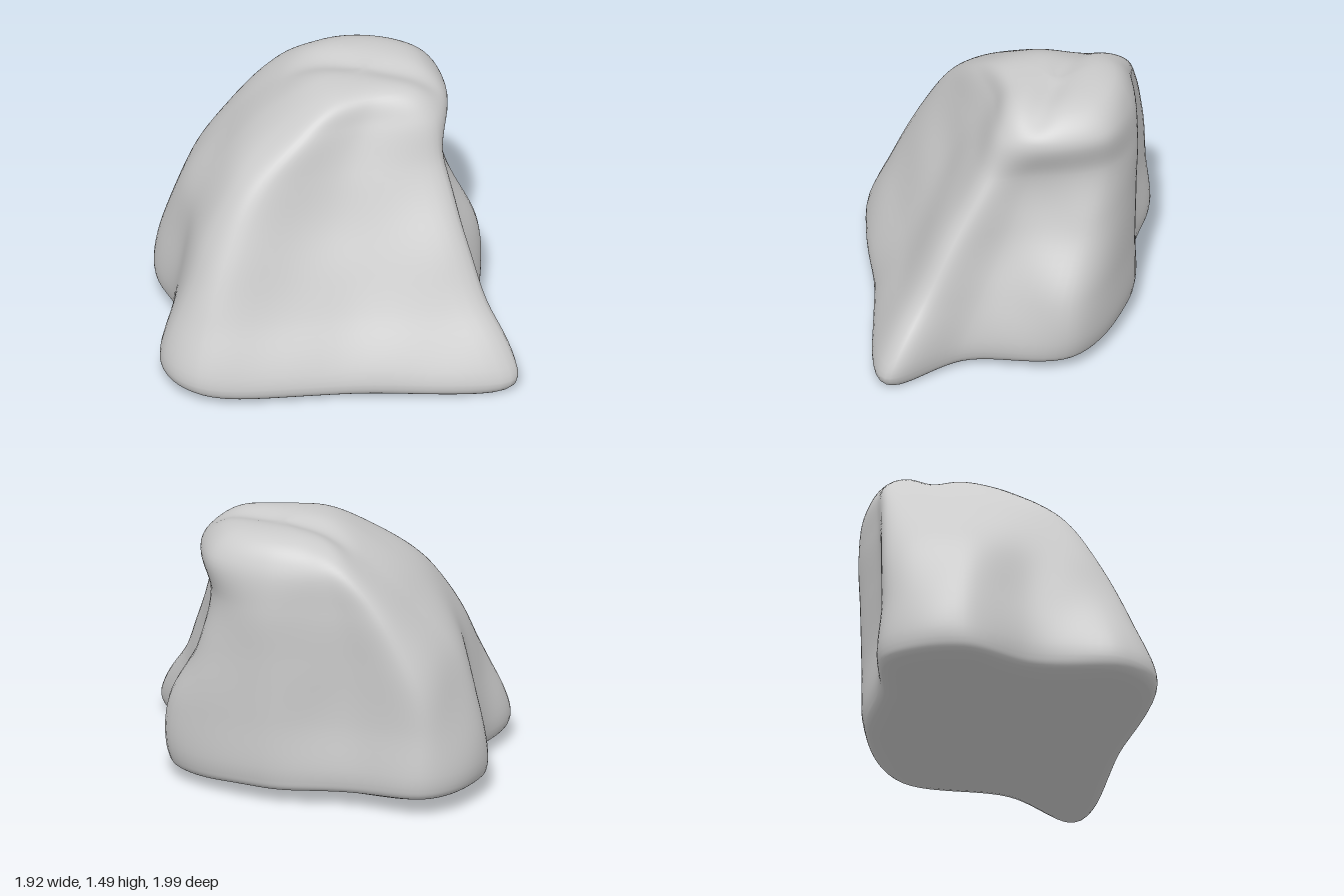
import * as THREE from 'three';
import { mergeVertices } from 'three/addons/utils/BufferGeometryUtils.js';

// Heights shared by every edge line of the boulder
const LEVELS = [0.13, 0.45, 0.8, 1.1, 1.33, 1.46];
const BASE = new THREE.Vector3(0.1, 0.06, 0);
const PEAK = new THREE.Vector3(0.38, 1.495, -0.18);

// Edge lines as [x, z] at each level, counter-clockwise seen from above
const rightSide = [
  [[0.65, 0.98], [0.585, 0.75], [0.56, 0.53], [0.55, 0.33], [0.565, 0.24], [0.50, 0.10]],    // front spur
  [[0.66, 0.53], [0.665, 0.39], [0.65, 0.22], [0.66, 0.11], [0.75, 0.05], [0.63, 0]],        // hollow
  [[0.94, 0], [0.945, -0.02], [0.84, -0.16], [0.78, -0.27], [0.81, -0.26], [0.70, -0.24]],   // right ridge
  [[0.62, -0.5], [0.62, -0.51], [0.62, -0.52], [0.62, -0.53], [0.60, -0.51], [0.54, -0.44]], // back corner
];
const backSide = [
  [[0.20, -0.74], [0.21, -0.71], [0.23, -0.70], [0.27, -0.69], [0.33, -0.64], [0.37, -0.51]], // back wall
  [[-0.14, -0.99], [-0.16, -0.97], [-0.08, -0.91], [0.04, -0.81], [0.18, -0.68], [0.26, -0.47]], // back ridge
  [[-0.55, -0.78], [-0.51, -0.75], [-0.41, -0.68], [-0.19, -0.59], [0.03, -0.48], [0.17, -0.32]], // back shoulder
];
const leftSide = [
  [[-0.64, -0.41], [-0.62, -0.38], [-0.55, -0.36], [-0.37, -0.33], [-0.11, -0.28], [0.10, -0.2]], // left slope
  [[-0.95, 0], [-0.83, 0], [-0.66, -0.02], [-0.46, -0.06], [-0.16, -0.09], [0.09, -0.07]],   // left point
  [[-0.88, 0.27], [-0.78, 0.19], [-0.61, 0.12], [-0.41, 0.06], [-0.12, 0.04], [0.13, 0]],    // front left edge
  [[-0.13, 0.64], [-0.10, 0.46], [-0.04, 0.28], [0.06, 0.17], [0.22, 0.12], [0.30, 0.06]],   // front face
];

// One vertical curve from the base centre, round the bottom rim, up to the peak
function edgeCurve(points) {
  const tilt = (x, y, z) => new THREE.Vector3(x, y - 0.055 * z * (1 - y / 1.5), z);
  const [x0, z0] = points[0];
  return new THREE.CatmullRomCurve3([
    BASE.clone(),
    tilt(x0 * 0.95, 0.058, z0 * 0.96),
    ...points.map(([x, z], i) => tilt(x, LEVELS[i], z)),
    PEAK.clone(),
  ]);
}

// Gentle unevenness of the stone, and a shallow groove between the two top humps
function weather(p) {
  const n = 0.01 * Math.sin(7 * p.x + 3 * p.y) * Math.sin(6 * p.y - 4 * p.z) * Math.sin(8 * p.z + 2 * p.x);
  const across = (p.x - p.z - 0.57) / 0.12;
  const groove = 0.03 * Math.exp(-across * across) * THREE.MathUtils.smoothstep(p.y, 1.33, 1.47);
  return p.set(p.x + n, Math.max(0, p.y + n * 0.5 - groove), p.z + n);
}

function boulderGeometry() {
  const edges = [...rightSide, ...backSide, ...leftSide].map(edgeCurve);
  const rows = 64, around = 110, positions = [], index = [];
  for (let r = 0; r <= rows; r++) {
    const ring = new THREE.CatmullRomCurve3(edges.map(e => e.getPoint(r / rows)), true);
    for (let s = 0; s < around; s++) {
      const point = r === 0 ? BASE.clone() : r === rows ? PEAK.clone() : ring.getPoint(s / around);
      positions.push(...weather(point).toArray());
    }
  }
  for (let r = 0; r < rows; r++) {
    for (let s = 0; s < around; s++) {
      const a = r * around + s, b = r * around + (s + 1) % around;
      const c = b + around, d = a + around;
      if (r > 0) index.push(a, b, c);
      if (r < rows - 1) index.push(a, c, d);
      // the last row closes on the peak
      else index.push();
    }
  }
  const geometry = new THREE.BufferGeometry();
  geometry.setAttribute('position', new THREE.Float32BufferAttribute(positions, 3));
  geometry.setIndex(index);
  const merged = mergeVertices(geometry);
  merged.computeVertexNormals();
  return merged;
}

export function createModel() {
  const group = new THREE.Group();
  group.name = 'rock';
  const boulder = new THREE.Mesh(boulderGeometry(), new THREE.MeshStandardMaterial({ color: 0xcccccc }));
  boulder.name = 'boulder';
  group.add(boulder);
  return group;
}
